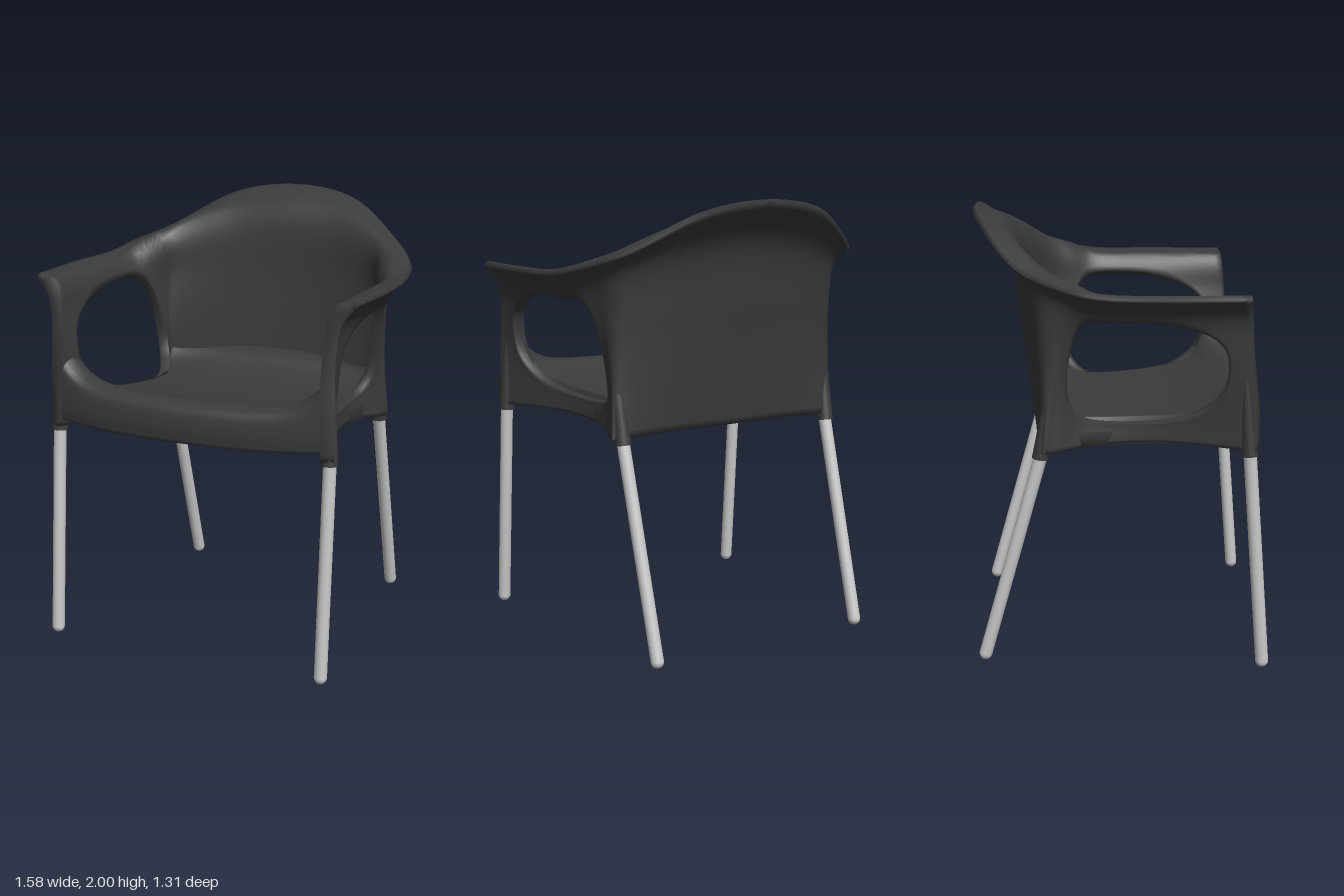
import * as THREE from 'three';
import { mergeVertices } from 'three/addons/utils/BufferGeometryUtils.js';

const V = (x, y, z) => new THREE.Vector3(x, y, z);
const { smoothstep } = THREE.MathUtils;

// Upright profiles (bottom to rim) of the shell, from the back centre round to the front of the arm
const profiles = [
  [[0, .98, -.37], [0, 1.2, -.4], [0, 1.5, -.445], [0, 1.8, -.5], [0, 1.98, -.655]],
  [[.3, .98, -.365], [.31, 1.2, -.39], [.32, 1.48, -.42], [.32, 1.76, -.47], [.31, 1.935, -.615]],
  [[.575, .97, -.35], [.565, 1.2, -.34], [.56, 1.43, -.345], [.56, 1.675, -.375], [.58, 1.785, -.46]],
  [[.59, .97, -.29], [.575, 1.2, -.26], [.6, 1.42, -.23], [.64, 1.625, -.22], [.72, 1.712, -.27]],
  [[.52, .99, -.1], [.52, 1.15, -.1], [.61, 1.4, -.08], [.685, 1.58, -.07], [.768, 1.678, -.08]],
  [[.555, 1.01, .2], [.56, 1.15, .2], [.64, 1.4, .2], [.695, 1.575, .2], [.79, 1.672, .2]],
  [[.695, 1, .58], [.69, 1.2, .575], [.685, 1.42, .565], [.7, 1.575, .555], [.775, 1.672, .542]],
];
const LAST = profiles.length - 1;
const curves = [];
for (let k = -LAST; k <= LAST; k++) {
  curves.push(new THREE.CatmullRomCurve3(
    profiles[Math.abs(k)].map(([x, y, z]) => V(k < 0 ? -x : x, y, z)), false, 'catmullrom', 0.5));
}

// Point on the outer shell: s runs round the chair, v runs up
function shellPoint(s, v) {
  const across = new THREE.CatmullRomCurve3(curves.map(c => c.getPoint(v)), false, 'catmullrom', 0.5);
  return across.getPoint((s + LAST) / (2 * LAST));
}

// Outer and inner point of the shell, thicker below the rim and in the front posts, thin at the lip
function shellPair(s, v) {
  const e = 0.02;
  const p = shellPoint(s, v);
  const du = shellPoint(Math.min(s + e, LAST), v).sub(shellPoint(s - e, v));
  const dv = shellPoint(s, Math.min(v + e, 1)).sub(shellPoint(s, Math.max(v - e, 0)));
  const n = dv.cross(du).normalize();
  const lip = 1 - smoothstep(v, 0.84, 1);
  const corner = smoothstep(s, 0.5, 2) * (1 - smoothstep(s, 2.2, 3.6));
  const post = smoothstep(s, 5, 5.7) * (1 - smoothstep(v, 0.4, 0.75));
  const thick = 0.025 + 0.02 * lip + (0.025 + 0.02 * corner) * lip * smoothstep(v, 0.6, 0.86) + 0.015 * post;
  return [p, p.clone().addScaledVector(n, -thick)];
}

// Ring through the thickness: along the outside, then back along the inside
function slabRing(params) {
  const pairs = params.map(([s, v]) => shellPair(s, v));
  return [...pairs.map(p => p[0]), ...pairs.map(p => p[1]).reverse()];
}

// Joins rings of points into triangles; openAt(i) leaves out the closing strip
function loft(rings, openAt = () => false) {
  const tris = [];
  for (let i = 0; i < rings.length - 1; i++) {
    const a = rings[i], b = rings[i + 1], n = a.length;
    for (let k = 0; k < n; k++) {
      if (k === n - 1 && openAt(i)) continue;
      const m = (k + 1) % n;
      tris.push([a[k], b[k], b[m]], [a[k], b[m], a[m]]);
    }
  }
  return tris;
}

function smoothGeometry(tris) {
  const pos = tris.flatMap(t => t.flatMap(p => [p.x, p.y, p.z]));
  const g = new THREE.BufferGeometry();
  g.setAttribute('position', new THREE.Float32BufferAttribute(pos, 3));
  const merged = mergeVertices(g, 1e-4);
  merged.computeVertexNormals();
  return merged;
}

// Backrest and arms in one shell, with a rounded opening under each arm
function shellGeometry() {
  const N = 28, M = 8, s0 = 2.5;
  const backRings = [];
  for (let i = 0; i <= 20; i++) {
    const s = s0 * (1 - i / 20);
    backRings.push(slabRing(Array.from({ length: N + 1 }, (_, j) => [s, j / N])));
  }
  const sc = 4.4, hs = 1.31, vc = 0.445, hv = 0.28, power = 2.4;
  const armRings = [];
  for (let i = 0; i <= 4 * N; i++) {
    const side = Math.floor(i / N) % 4, f = (i % N) / N;
    const [a, b] = [[0, f], [f, 1], [1, 1 - f], [1 - f, 0]][side];
    const s = s0 + (LAST - s0) * a, v = b;
    const dx = (s - sc) / hs, dy = (v - vc) / hv;
    const r = Math.pow(Math.abs(dx) ** power + Math.abs(dy) ** power, 1 / power);
    const hx = sc + hs * dx / r, hy = vc + hv * dy / r;
    armRings.push(slabRing(Array.from({ length: M + 1 }, (_, j) => {
      const t = j / M;
      return [s + (hx - s) * t, v + (hy - v) * t];
    })));
  }
  const half = [...loft(backRings), ...loft(armRings, i => i < N)];
  const flip = p => V(-p.x, p.y, p.z);
  return smoothGeometry([...half, ...half.map(([a, b, c]) => [flip(a), flip(c), flip(b)])]);
}

// Seat: one side profile swept across the width, with a bowed front lip
function seatGeometry() {
  const top = new THREE.CatmullRomCurve3([
    V(0, 1.27, -.375), V(0, 1.16, -.32), V(0, 1.11, -.18), V(0, 1.112, .1), V(0, 1.15, .4),
    V(0, 1.188, .56), V(0, 1.165, .635), V(0, 1.09, .655), V(0, 1.015, .65),
  ]).getPoints(40);
  const profile = [...top, V(0, 1.005, .6), V(0, .99, .1), V(0, .98, -.34)];

  // Half widths follow the lower shell, so the seat sides end inside it
  const edge = Array.from({ length: 41 }, (_, i) => shellPoint(2 + i / 10, 0.09));
  const inset = 0.034;
  const halfWidth = z => {
    if (z <= edge[0].z) return edge[0].x - inset;
    const k = edge.findIndex(p => p.z >= z);
    if (k < 0) return edge[40].x - inset;
    const a = edge[k - 1], b = edge[k];
    return a.x + (b.x - a.x) * (z - a.z) / (b.z - a.z) - inset;
  };
  const ring = (x, flat) => profile.map(p => {
    const front = smoothstep(p.z, 0.2, 0.55);
    const rear = 1 - smoothstep(p.z, -0.36, -0.15);
    const corner = smoothstep(p.z, 0.42, 0.58) * smoothstep(p.y, 1.05, 1.17);
    const arch = smoothstep(p.z, 0.5, 0.6) * (1 - smoothstep(p.y, 1.01, 1.1));
    const y = p.y + corner * (0.13 * Math.abs(x) ** 7 + 0.025 * x * x) + arch * 0.02 * x ** 4;
    const z = p.z - 0.07 * x * x * front + 0.045 * x ** 4 * rear;
    return V(x * halfWidth(z), flat ? 1.05 : y, z);
  });
  const rings = [ring(1, true)];
  for (let i = 0; i <= 40; i++) rings.push(ring(1 - i / 20, false));
  rings.push(ring(-1, true));
  return smoothGeometry(loft(rings));
}

// Lays a geometry built along y between two points
function between(geometry, a, b) {
  const dir = b.clone().sub(a).normalize();
  geometry.applyQuaternion(new THREE.Quaternion().setFromUnitVectors(V(0, 1, 0), dir));
  const mid = a.clone().add(b).multiplyScalar(0.5);
  return geometry.translate(mid.x, mid.y, mid.z);
}

export function createModel() {
  const plastic = new THREE.MeshStandardMaterial({ color: 0x3b3b3b });
  plastic.name = 'dark grey plastic';
  const metal = new THREE.MeshStandardMaterial({ color: 0xc8c8c8 });
  metal.name = 'light grey metal';

  const chair = new THREE.Group();
  chair.name = 'armchair';
  const add = (name, geometry, material) => {
    const mesh = new THREE.Mesh(geometry, material);
    mesh.name = name;
    chair.add(mesh);
  };
  add('backAndArms', shellGeometry(), plastic);
  add('seat', seatGeometry(), plastic);

  // Legs with tapered sockets that run up into the shell
  const legs = [
    { name: 'front', foot: [.665, .03, .628], head: [.665, 1.03, .553], low: [.664, .975, .557], high: [.66, 1.32, .535] },
    { name: 'back', foot: [.545, .03, -.605], head: [.555, .99, -.335], low: [.556, .94, -.35], high: [.564, 1.45, -.265] },
  ];
  for (const side of [1, -1]) {
    const label = side > 0 ? 'Left' : 'Right';
    for (const leg of legs) {
      const at = ([x, y, z]) => V(side * x, y, z);
      const foot = at(leg.foot), head = at(leg.head), low = at(leg.low), high = at(leg.high);
      add(leg.name + label + 'Leg',
        between(new THREE.CapsuleGeometry(0.029, foot.distanceTo(head), 6, 20), foot, head), metal);
      add(leg.name + label + 'Socket',
        between(new THREE.CylinderGeometry(0.018, 0.036, low.distanceTo(high), 20), low, high), plastic);
    }
  }
  return chair;
}
